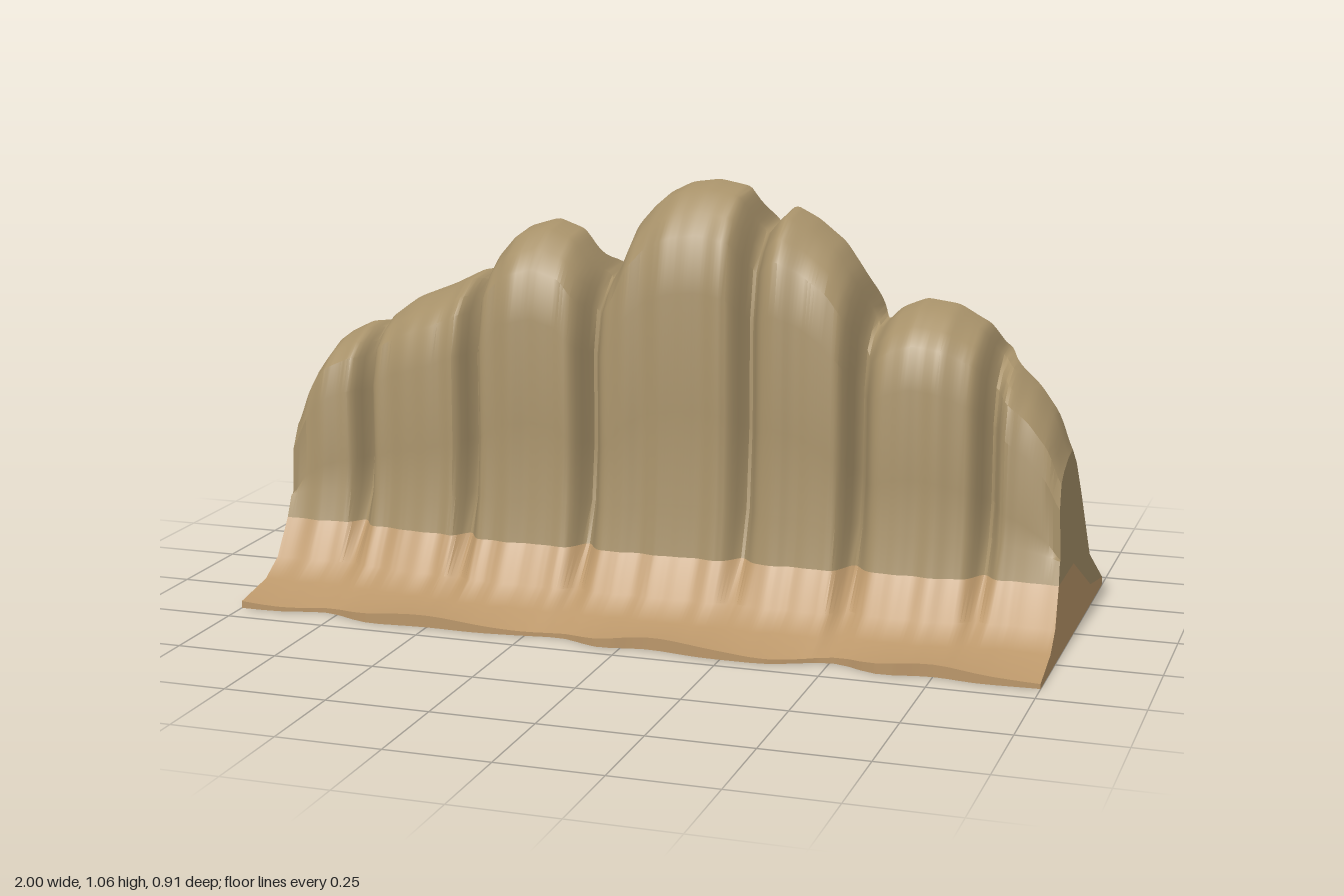
import * as THREE from 'three';
import { toCreasedNormals } from 'three/addons/utils/BufferGeometryUtils.js';

// Skyline of the ridge: [x, height]
const RIDGE = [
  [-0.98, 0.44], [-0.95, 0.55], [-0.9, 0.62], [-0.83, 0.655], [-0.79, 0.645], [-0.75, 0.69],
  [-0.7, 0.725], [-0.6, 0.765], [-0.52, 0.805], [-0.48, 0.79], [-0.45, 0.86], [-0.4, 0.92],
  [-0.32, 0.945], [-0.25, 0.92], [-0.2, 0.85], [-0.16, 0.81], [-0.12, 0.86], [-0.08, 0.96],
  [-0.03, 1.02], [0.03, 1.05], [0.1, 1.06], [0.18, 1.045], [0.215, 0.97], [0.235, 0.945],
  [0.26, 0.97], [0.29, 1.005], [0.35, 0.975], [0.42, 0.92], [0.46, 0.86], [0.5, 0.75],
  [0.52, 0.73], [0.56, 0.77], [0.62, 0.795], [0.7, 0.785], [0.78, 0.74], [0.8, 0.68],
  [0.84, 0.655], [0.9, 0.6], [0.95, 0.53], [0.98, 0.44],
];
// Wavy front and back edges of the ground: [x, z]
const FRONT_RIM = [
  [-1, 0.43], [-0.9, 0.43], [-0.78, 0.395], [-0.66, 0.45], [-0.5, 0.435], [-0.38, 0.44], [-0.28, 0.43],
  [-0.15, 0.41], [-0.06, 0.46], [0.06, 0.43], [0.2, 0.455], [0.36, 0.455], [0.51, 0.39],
  [0.62, 0.45], [0.75, 0.42], [0.85, 0.44], [1, 0.43],
];
const BACK_RIM = [
  [-1, -0.43], [-0.9, -0.435], [-0.78, -0.455], [-0.62, -0.41], [-0.48, -0.42], [-0.37, -0.465],
  [-0.16, -0.41], [0.05, -0.46], [0.3, -0.415], [0.52, -0.45], [0.7, -0.42], [0.86, -0.45], [1, -0.435],
];
// Vertical clefts between the lobes
const CLEFTS = [-0.79, -0.49, -0.175, 0.225, 0.495, 0.81];

const lerp = THREE.MathUtils.lerp;

function sample(table, x) {
  if (x <= table[0][0]) return table[0][1];
  for (let i = 1; i < table.length; i++) {
    const [x0, v0] = table[i - 1], [x1, v1] = table[i];
    if (x <= x1) return lerp(v0, v1, (x - x0) / (x1 - x0));
  }
  return table[table.length - 1][1];
}

function smooth(table, x, r) {
  return (sample(table, x - r) + 2 * sample(table, x) + sample(table, x + r)) / 4;
}

// Ends lean out slightly towards the ground
function place(x, z, y) {
  const k = THREE.MathUtils.clamp((Math.abs(x) - 0.9) / 0.08, 0, 1);
  return [x + Math.sign(x) * 0.02 * k * Math.max(0, 1 - y / 0.44), y, z];
}

// Cross-section at x as [z, y], from the front ground edge over the top to the back
function section(x) {
  const h = smooth(RIDGE, x, 0.01);
  const t = THREE.MathUtils.clamp((h - 0.65) / 0.4, 0, 1);
  let g = 0;
  for (const c of CLEFTS) g = Math.max(g, Math.exp(-(((x - c) / 0.024) ** 2)));
  const ripple = 0.003 * Math.sin(x * 47) + 0.002 * Math.sin(x * 83 + 1);
  const foot = lerp(0.15, 0.195, Math.min(1, t * 2)) + ripple;
  const wall = foot - 0.075 * g;
  const crest = -0.03 - 0.08 * g;
  const shelfZ = -0.26 - 0.03 * t + ripple * 2, shelfY = lerp(0.13, 0.3, t);
  const front = smooth(FRONT_RIM, x, 0.04), back = smooth(BACK_RIM, x, 0.05);
  const lip = 0.02 + 0.01 * Math.sin(x * 10 + 0.6);
  const slope = (s, bulge) => [lerp(crest, shelfZ, s) - bulge * (1 - g), lerp(h, shelfY, s)];
  return [
    [front, 0], [front, lip], [foot + 0.15, 0.04], [foot + 0.085 - 0.01 * g, 0.08],
    [foot + 0.03 - 0.04 * g, 0.17],
    [foot + 0.01 - 0.065 * g, 0.17 + 0.12 * h], [wall, 0.5 * h], [wall, 0.77 * h],
    [wall - 0.025, 0.895 * h], [wall - 0.065, 0.945 * h], [wall - 0.13 + 0.02 * g, 0.988 * h],
    [crest, h], slope(0.14, 0.022), slope(0.42, 0.02), [shelfZ, shelfY],
    [back, 0.02], [back, 0],
  ];
}

function makeMesh(name, geometry, material) {
  const mesh = new THREE.Mesh(geometry, material);
  mesh.name = name;
  return mesh;
}

// Skin between the given section rows along the whole length
function skin(xs, sections, rows) {
  const pos = [], index = [], n = rows.length;
  sections.forEach((s, i) => rows.forEach((r) => pos.push(...place(xs[i], ...s[r]))));
  for (let i = 0; i < xs.length - 1; i++) {
    for (let j = 0; j < n - 1; j++) {
      const a = i * n + j, b = a + n;
      index.push(a, b, b + 1, a, b + 1, a + 1);
    }
  }
  const geo = new THREE.BufferGeometry();
  geo.setAttribute('position', new THREE.Float32BufferAttribute(pos, 3));
  geo.setIndex(index);
  return toCreasedNormals(geo, 0.6);
}

// Flat end wall from an outline of [z, y] points
function endWall(x, outline) {
  const pts = outline.map(([z, y]) => new THREE.Vector2(z, y));
  const geo = new THREE.BufferGeometry();
  const pos = outline.flatMap(([z, y]) => place(x, z, y));
  geo.setAttribute('position', new THREE.Float32BufferAttribute(pos, 3));
  geo.setIndex(THREE.ShapeUtils.triangulateShape(pts, []).flat());
  const flat = geo.toNonIndexed();
  flat.computeVertexNormals();
  return flat;
}

export function createModel() {
  const group = new THREE.Group();
  group.name = 'cliff';
  const rock = new THREE.MeshStandardMaterial({ color: 0xa8926a, side: THREE.DoubleSide });
  const sand = new THREE.MeshStandardMaterial({ color: 0xbb976a, side: THREE.DoubleSide });

  const steps = 240;
  const xs = Array.from({ length: steps + 1 }, (_, i) => -0.98 + (1.96 * i) / steps);
  const sections = xs.map(section);

  // Long surfaces: sandy foot, rock face with its back slope, underside
  group.add(makeMesh('sandyFoot', skin(xs, sections, [0, 1, 2, 3, 4]), sand));
  group.add(makeMesh('rockFace', skin(xs, sections, [4, 5, 6, 7, 8, 9, 10, 11, 12, 13, 14, 15, 16]), rock));
  group.add(makeMesh('underside', skin(xs, sections, [16, 0]), sand));

  // End walls, sand below and rock above
  const seam = [[-0.02, 0.17], [-0.26, 0.05]];
  for (const [side, i] of [['right', 0], ['left', steps]]) {
    const s = sections[i];
    group.add(makeMesh(side + 'EndSand', endWall(xs[i], [...s.slice(0, 5), ...seam, s[15], s[16]]), sand));
    group.add(makeMesh(side + 'EndRock', endWall(xs[i], [...s.slice(4, 16), seam[1], seam[0]]), rock));
  }
  return group;
}
